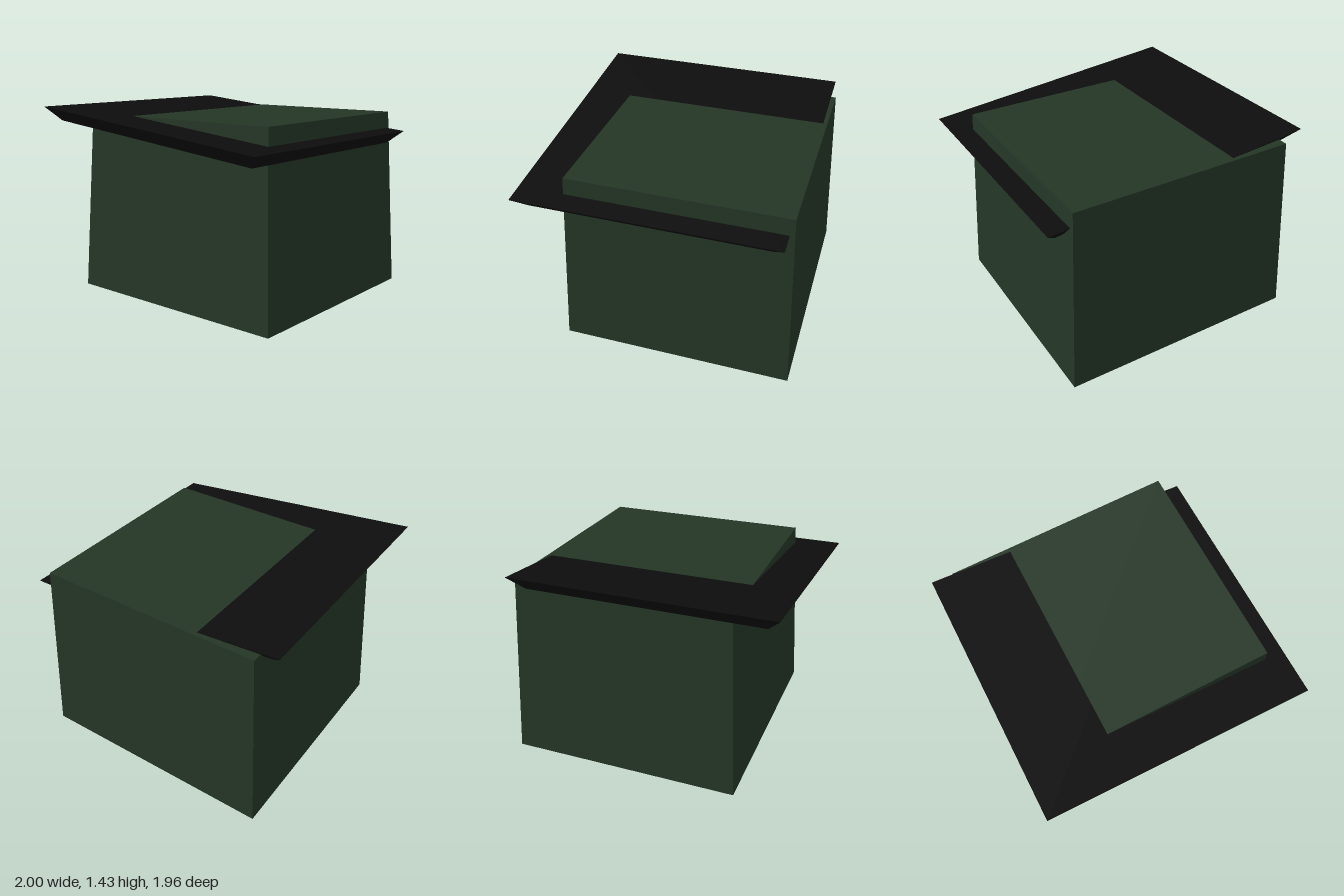
import * as THREE from 'three';

const green = new THREE.MeshStandardMaterial({ color: 0x243626 });
green.name = 'dark green';
const black = new THREE.MeshStandardMaterial({ color: 0x0d0d0d });
black.name = 'black';

// Box whose top and bottom rectangles are set separately; y may vary along x.
function taperedBox(name, material, bottom, top) {
  const geometry = new THREE.BoxGeometry(2, 2, 2);
  const p = geometry.attributes.position;
  for (let i = 0; i < p.count; i++) {
    const r = p.getY(i) > 0 ? top : bottom;
    const left = p.getX(i) > 0;
    p.setXYZ(i, left ? r.x : -r.x, left ? r.yLeft : r.yRight, p.getZ(i) > 0 ? r.front : r.back);
  }
  geometry.computeVertexNormals();
  const mesh = new THREE.Mesh(geometry, material);
  mesh.name = name;
  return mesh;
}

export function createModel() {
  const model = new THREE.Group();
  model.name = 'binWithLid';

  // Body narrowing towards the top
  model.add(taperedBox('body', green,
    { x: 0.907, yRight: 0, yLeft: 0, front: 0.71, back: -0.982 },
    { x: 0.843, yRight: 1.37, yLeft: 1.37, front: 0.645, back: -0.922 }));

  // Tilted lid with sloping edges, cut through by the body's top
  model.add(taperedBox('lid', black,
    { x: 0.907, yRight: 1.325, yLeft: 1.142, front: 0.89, back: -0.8 },
    { x: 1, yRight: 1.43, yLeft: 1.23, front: 0.982, back: -0.892 }));

  return model;
}
